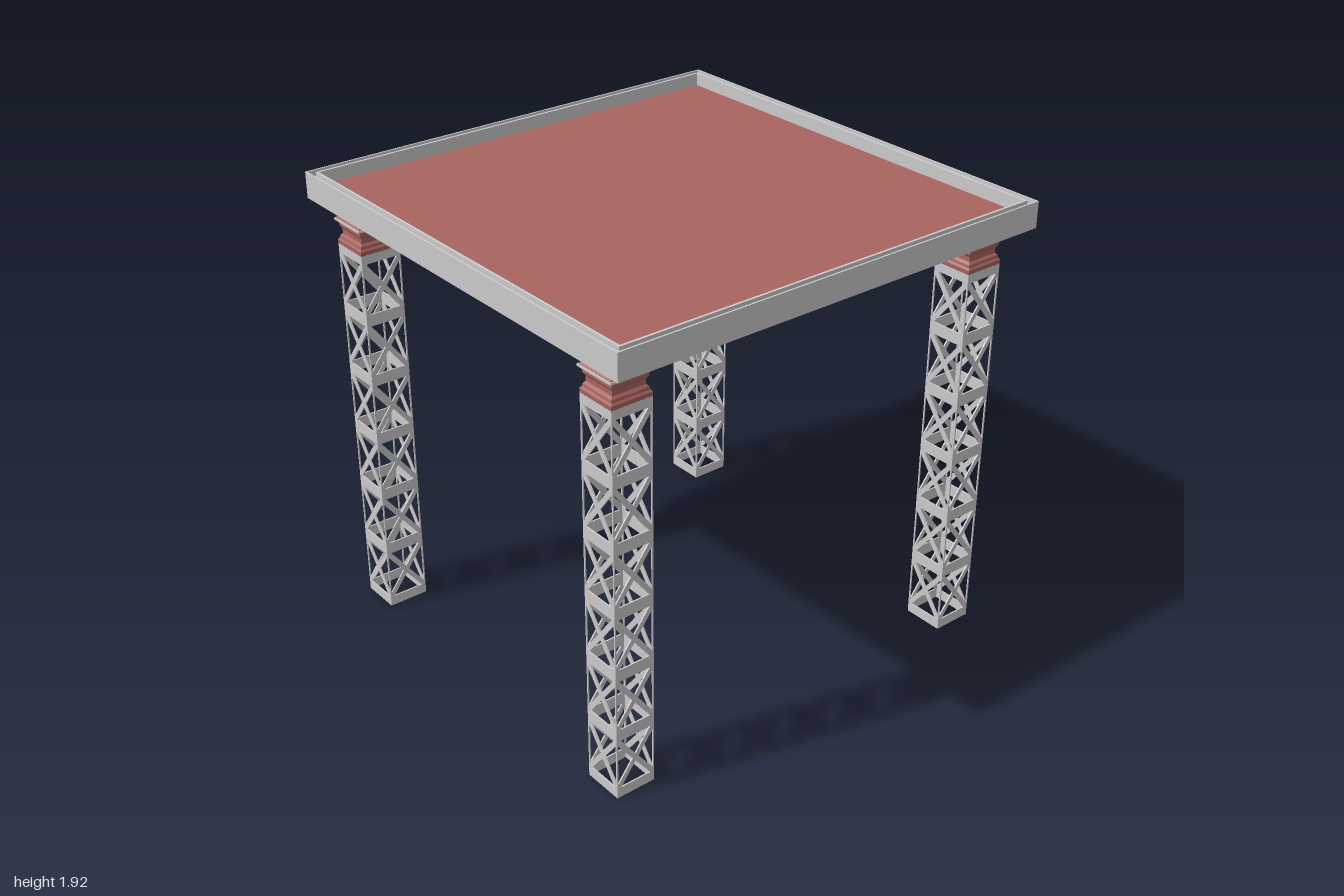
import * as THREE from 'three';

const HALF = 0.0875;          // half width of a lattice leg
const LEG_TOP = 1.645;
const PLATE = 0.006;          // sheet thickness of the lattice sides
const PITCH = 0.269;          // spacing of the horizontal bands
const CELLS = 6;

const grey = new THREE.MeshStandardMaterial({ color: 0xcccccc, flatShading: true });
const red = new THREE.MeshStandardMaterial({ color: 0xa86560, flatShading: true });

function addMesh(parent, name, geometry, material, x = 0, y = 0, z = 0) {
  const mesh = new THREE.Mesh(geometry, material);
  mesh.name = name;
  mesh.position.set(x, y, z);
  parent.add(mesh);
  return mesh;
}

function polygon(points, Type = THREE.Path) {
  return new Type(points.map(([x, y]) => new THREE.Vector2(x, y)));
}

// Square ring standing on y = 0
function squareRing(outer, inner, height) {
  const square = (s) => [[-s, -s], [s, -s], [s, s], [-s, s]];
  const shape = polygon(square(outer), THREE.Shape);
  shape.holes.push(polygon(square(inner)));
  return new THREE.ExtrudeGeometry(shape, { depth: height, bevelEnabled: false }).rotateX(-Math.PI / 2);
}

// One lattice side: a plate with four triangular openings around each X brace
function latticeSide() {
  const shape = polygon([[-HALF, 0], [HALF, 0], [HALF, LEG_TOP], [-HALF, LEG_TOP]], THREE.Shape);
  const a = HALF - 0.005;
  const h = 0.109;                        // half height of a cell opening
  const t = 0.0105;                       // half width of a brace
  const len = Math.hypot(a, h);
  const dx = t * len / h, dy = t * len / a;
  for (let i = 0; i < CELLS; i++) {
    const y = 0.153 + i * PITCH;
    for (const s of [-1, 1]) {
      shape.holes.push(polygon([[-(a - dx), y + s * h], [a - dx, y + s * h], [0, y + s * dy]]));
      shape.holes.push(polygon([[s * a, y - h + dy], [s * a, y + h - dy], [s * dx, y]]));
    }
  }
  return new THREE.ExtrudeGeometry(shape, { depth: PLATE, bevelEnabled: false })
    .translate(0, 0, HALF - PLATE);
}

// Square moulded capital from [half width, height] pairs
function capitalGeometry() {
  const profile = [
    [0, 1.64], [0.087, 1.64], [0.088, 1.662], [0.082, 1.67], [0.08, 1.68], [0.072, 1.69],
    [0.072, 1.71], [0.08, 1.722], [0.08, 1.735], [0.088, 1.742], [0.088, 1.756],
    [0.081, 1.762], [0.081, 1.77], [0.087, 1.778], [0.087, 1.816], [0, 1.816],
  ];
  const points = profile.map(([r, y]) => new THREE.Vector2(r * Math.SQRT2, y));
  return new THREE.LatheGeometry(points, 4).rotateY(Math.PI / 4);
}

export function createModel() {
  const model = new THREE.Group();
  model.name = 'latticeTable';

  // Top: red deck, tall outer rim and a second thin rim inside it
  const top = new THREE.Group();
  top.name = 'tableTop';
  model.add(top);
  addMesh(top, 'deck', new THREE.BoxGeometry(1.988, 0.055, 1.988), red, 0, 1.8425, 0);
  addMesh(top, 'outerRim', squareRing(1, 0.993, 0.11), grey, 0, 1.815, 0);
  addMesh(top, 'innerRim', squareRing(0.97, 0.96, 0.057), grey, 0, 1.868, 0);

  // Four lattice legs with capitals
  const side = latticeSide();
  const capital = capitalGeometry();
  const collar = new THREE.BoxGeometry(0.186, 0.009, 0.186);
  for (const sx of [-1, 1]) {
    for (const sz of [-1, 1]) {
      const leg = new THREE.Group();
      leg.name = `${sz > 0 ? 'front' : 'back'}${sx > 0 ? 'Left' : 'Right'}Leg`;
      leg.position.set(sx * 0.8, 0, sz * 0.856);
      model.add(leg);
      for (let i = 0; i < 4; i++) {
        addMesh(leg, 'latticeSide', side, grey).rotation.y = i * Math.PI / 2;
      }
      addMesh(leg, 'capital', capital, red);
      addMesh(leg, 'capitalCollar', collar, grey, 0, 1.749, 0);
    }
  }
  return model;
}
